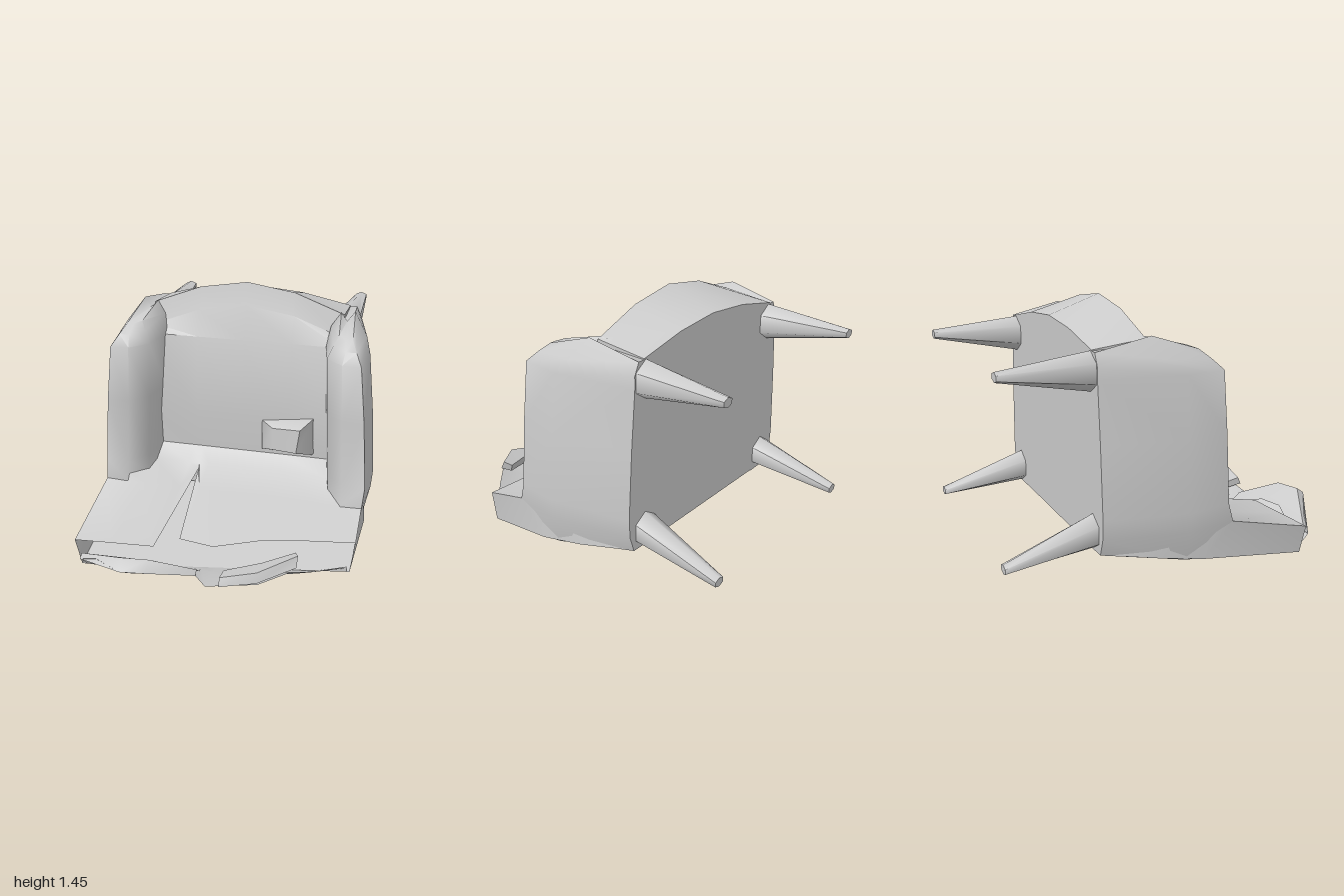
import * as THREE from 'three';
import { toCreasedNormals } from 'three/addons/utils/BufferGeometryUtils.js';

const material = new THREE.MeshStandardMaterial({ color: 0xcccccc, side: THREE.DoubleSide });

// Skins rows of [x, y, z] points; closed lofts get end caps and face outwards.
function skin(rows, closed, crease = 0.8) {
  const n = rows[0].length, pts = rows.flat().map(p => [...p]), idx = [];
  for (let i = 0; i < rows.length - 1; i++) {
    for (let j = 0; j < (closed ? n : n - 1); j++) {
      const k = (j + 1) % n, a = i * n + j, b = i * n + k, c = a + n, d = b + n;
      idx.push(a, b, d, a, d, c);
    }
  }
  if (closed) {
    [0, rows.length - 1].forEach((r, end) => {
      const c = pts.length;
      pts.push([0, 1, 2].map(k => rows[r].reduce((s, p) => s + p[k], 0) / n));
      for (let j = 0; j < n; j++) {
        const a = r * n + j, b = r * n + (j + 1) % n;
        idx.push(c, end ? a : b, end ? b : a);
      }
    });
    const v = pts.map(p => new THREE.Vector3(...p));
    let volume = 0;
    for (let i = 0; i < idx.length; i += 3) {
      volume += v[idx[i]].dot(v[idx[i + 1]].clone().cross(v[idx[i + 2]]));
    }
    if (volume < 0) idx.reverse();
  }
  const g = new THREE.BufferGeometry();
  g.setAttribute('position', new THREE.Float32BufferAttribute(pts.flat(), 3));
  g.setIndex(idx);
  return toCreasedNormals(g, crease);
}

export function createModel() {
  const model = new THREE.Group();
  const add = (name, geometry) => {
    const mesh = new THREE.Mesh(geometry, material);
    mesh.name = name;
    model.add(mesh);
  };

  // Seat block: side profile lofted across x, with an arched front roll
  const seatStations = [[-0.57, 1.3], [-0.28, 1.41], [0, 1.455], [0.28, 1.41], [0.57, 1.3]];
  add('seat', skin(seatStations.map(([x, top]) => [
    [-0.5, 0.205], [-0.5, 1.1], [-0.5, 1.27 + (top - 1.3) * 0.55], [-0.2, top],
    [-0.17, top - 0.13], [-0.11, 1.13], [-0.07, 0.65], [-0.1, 0.42], [-0.1, 0.16],
  ].map(([z, y]) => [x, y, z])), true, 0.7));

  // Arms: rounded columns, mirrored
  const armSection = (y, inner, outer, front) => [
    [inner - 0.01, y, -0.5], [inner, y, -0.12], [inner + 0.035, y, 0.08], [inner + 0.13, y, front - 0.01],
    [outer - 0.025, y, front], [outer, y, -0.05], [outer * 0.75 + 0.085, y, -0.5],
  ];
  const armRings = [
    [[0.47, 0.2, -0.5], [0.5, 0.16, -0.12], [0.53, 0.11, 0.08], [0.62, 0.1, 0.2],
      [0.74, 0.09, 0.22], [0.76, 0.13, -0.05], [0.65, 0.205, -0.5]],
    armSection(0.3, 0.52, 0.795, 0.23),
    armSection(0.41, 0.515, 0.803, 0.195),
    armSection(0.8, 0.495, 0.775, 0.187),
    armSection(1.13, 0.48, 0.74, 0.18),
    [[0.47, 1.2, -0.5], [0.5, 1.24, -0.16], [0.545, 1.2, 0.06], [0.62, 1.19, 0.12],
      [0.68, 1.19, 0.12], [0.71, 1.21, -0.12], [0.64, 1.2, -0.5]],
    [[0.5, 1.265, -0.5], [0.55, 1.31, -0.2], [0.57, 1.25, 0.03], [0.61, 1.24, 0.06],
      [0.65, 1.24, 0.06], [0.63, 1.325, -0.2], [0.61, 1.265, -0.5]],
  ];
  for (const s of [1, -1]) {
    add(s > 0 ? 'leftArm' : 'rightArm', skin(armRings.map(r => r.map(([x, y, z]) => [s * x, y, z])), true, 1.0));
  }

  // Backrest: upper cover with a torn notch; columns are x, front z, front y
  const edge = [[-0.77, 0.73, 0.17], [-0.55, 0.71, 0.17], [-0.32, 0.69, 0.17], [-0.26, 0.0, 0.31], [-0.2, 0.59, 0.175],
    [0, 0.615, 0.17], [0.25, 0.54, 0.2], [0.52, 0.5, 0.215], [0.77, 0.49, 0.235]];
  const upper = edge.map(([x, zf, yf]) => {
    const side = Math.abs(x) > 0.7;
    const line = side ? [[0, 0.4], [0.19, 0.4], [0.23, 0.3]] : [[-0.1, 0.42], [-0.02, 0.335], [0.2, 0.28]];
    return [...line.map(([z, y]) => z > zf ? [x, yf, zf] : [x, y, z]), [x, yf, zf]];
  });
  add('backrestCover', skin(upper, false, 1.0));

  // Backrest: rear cover running under the whole seat
  const widths = [0.84, 0.97, 1.01, 0.97];
  const lower = edge.map(([x]) => {
    const t = (x + 0.77) / 1.54;
    return [[-0.5, 0.205], [-0.2, 0.165], [0.05, 0.12], [0.71 - 0.22 * t, 0.003 + 0.042 * t]]
      .map(([z, y], i) => [x * widths[i], y, z]);
  });
  add('backrestRear', skin(lower, false, 1.0));

  // Side walls between the covers
  for (const i of [0, edge.length - 1]) add('backrestSide', skin([upper[i], lower[i]], false));

  // Torn flap curling up from the rear cover: x, tip z, tip y
  const tips = [[-0.72, 0.79, 0.09], [-0.59, 0.86, 0.16], [-0.4, 0.995, 0.195], [-0.27, 0.97, 0.19], [-0.05, 0.79, 0.09],
    [0.02, 0.85, 0.075], [0.3, 0.83, 0.12], [0.47, 0.74, 0.17], [0.57, 0.66, 0.13], [0.73, 0.495, 0.07]];
  add('tornFlap', skin(tips.map(([x, z, y]) => {
    const t = (x + 0.75) / 1.5, z0 = 0.71 - 0.22 * t, y0 = 0.003 + 0.042 * t;
    return [[x, y0, z0], [x, y0 + 0.035, z0 + (z - z0) * 0.4], [x, y, z]];
  }), false, 0.9));

  // Folded lip on the tall part of the flap
  add('flapLip', skin([
    [[-0.72, 0.09, 0.79], [-0.72, 0.11, 0.76], [-0.72, 0.06, 0.71]],
    [[-0.4, 0.195, 0.995], [-0.42, 0.24, 0.93], [-0.42, 0.15, 0.8]],
    [[-0.27, 0.19, 0.97], [-0.27, 0.23, 0.9], [-0.27, 0.14, 0.78]],
    [[-0.05, 0.09, 0.79], [-0.05, 0.11, 0.76], [-0.05, 0.06, 0.7]],
  ], false));

  // Rolled strip of torn cover
  add('tornStrip', skin([
    [[0.1, 0.1, 0.87], [0.1, 0.145, 0.85], [0.1, 0.13, 0.76], [0.1, 0.09, 0.78]],
    [[0.3, 0.145, 0.855], [0.3, 0.205, 0.845], [0.3, 0.19, 0.73], [0.3, 0.13, 0.75]],
    [[0.49, 0.19, 0.73], [0.49, 0.245, 0.7], [0.47, 0.23, 0.65], [0.46, 0.18, 0.67]],
  ], true));

  // Raised patch on the seat
  add('patch', skin([
    [[0.12, 0.65, -0.1], [0.435, 0.69, -0.1], [0.44, 0.45, -0.1], [0.125, 0.46, -0.1]],
    [[0.12, 0.65, -0.075], [0.435, 0.69, -0.075], [0.43, 0.45, -0.075], [0.125, 0.46, -0.07]],
    [[0.2, 0.63, -0.01], [0.37, 0.65, 0.03], [0.35, 0.5, 0.03], [0.2, 0.49, -0.01]],
  ], true, 0.9));

  // Tapered legs pointing backwards
  const ring = (x, y, z, rx, ry) => Array.from({ length: 6 }, (_, i) => {
    const a = (i + 0.5) * Math.PI / 3;
    return [x + Math.cos(a) * rx * 1.15, y + Math.sin(a) * ry, z];
  });
  for (const s of [1, -1]) {
    add('frontLeg', skin([ring(s * 0.555, 1.16, -0.48, 0.078, 0.107), ring(s * 0.586, 1.191, -1, 0.033, 0.026)], true, 1.1));
    add('backLeg', skin([ring(s * 0.558, 0.312, -0.48, 0.078, 0.1), ring(s * 0.586, 0.21, -1, 0.033, 0.026)], true, 1.1));
  }
  return model;
}
